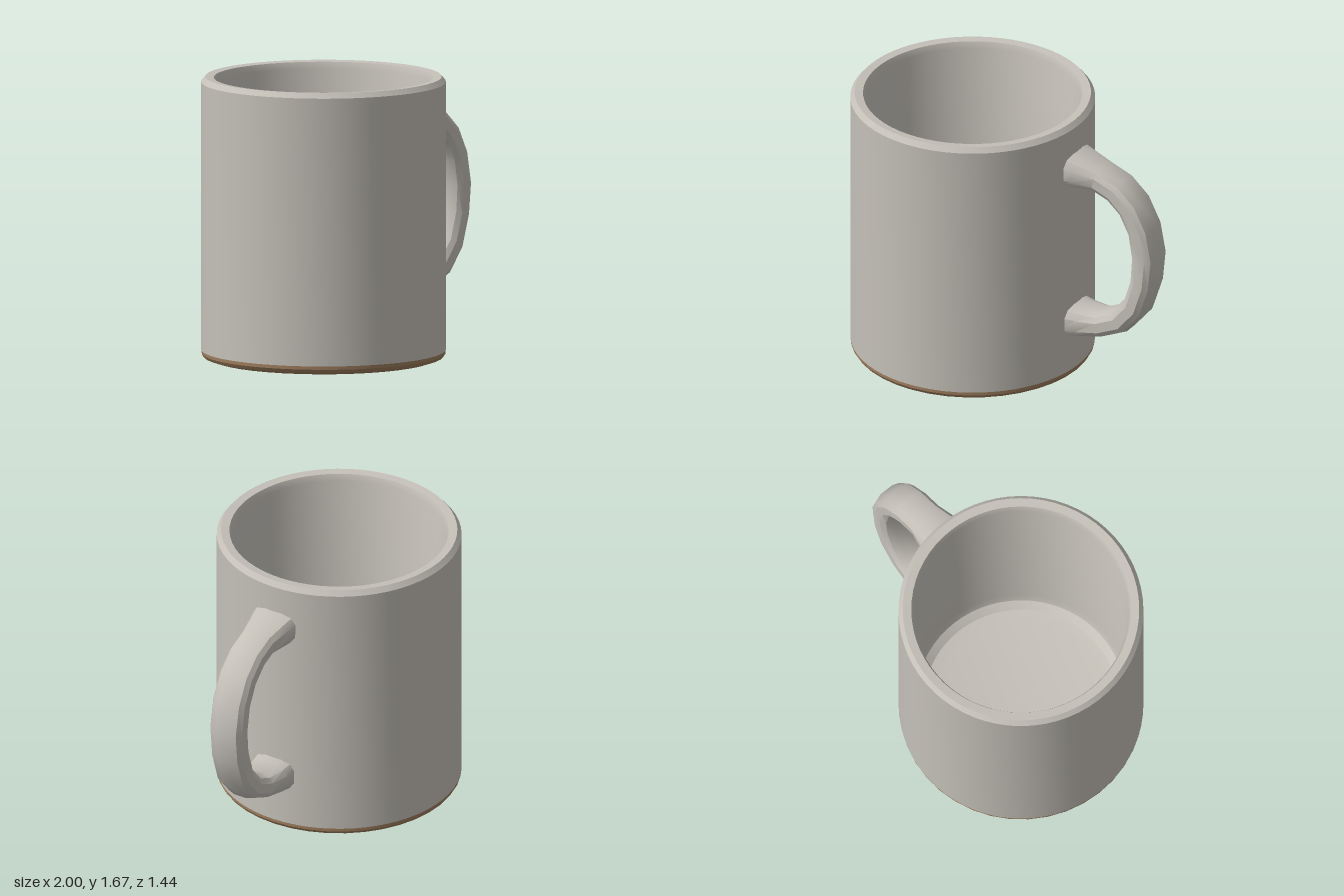
import * as THREE from 'three';
import { toCreasedNormals } from 'three/addons/utils/BufferGeometryUtils.js';

const CENTER_X = -0.28;

// Turns a [radius, height] profile, listed from bottom to top on the outside
function turned(profile, segments) {
  const points = profile.map(([r, y]) => new THREE.Vector2(r, y));
  return toCreasedNormals(new THREE.LatheGeometry(points, segments), 0.5);
}

// Sweeps a rounded section along stations in the xy plane:
// [x, y, half thickness, half width in z]
function sweptHandle(stations, sides) {
  const path = new THREE.CatmullRomCurve3(stations.map(([x, y]) => new THREE.Vector3(x, y, 0)));
  const positions = [];
  const index = [];
  const last = stations.length - 1;
  stations.forEach(([x, y, thick, wide], i) => {
    const t = path.getTangent(i / last);
    for (let j = 0; j < sides; j++) {
      const a = ((j + 0.5) / sides) * Math.PI * 2;
      // Squarish superellipse section
      const c = Math.sign(Math.cos(a)) * Math.abs(Math.cos(a)) ** 0.7;
      const s = Math.sign(Math.sin(a)) * Math.abs(Math.sin(a)) ** 0.7;
      positions.push(x - t.y * c * thick, y + t.x * c * thick, s * wide);
    }
    if (i === 0) return;
    for (let j = 0; j < sides; j++) {
      const k = (j + 1) % sides;
      const a = (i - 1) * sides + j, b = (i - 1) * sides + k;
      const d = i * sides + j, e = i * sides + k;
      index.push(a, b, d, b, e, d);
    }
  });
  const geometry = new THREE.BufferGeometry();
  geometry.setAttribute('position', new THREE.Float32BufferAttribute(positions, 3));
  geometry.setIndex(index);
  return toCreasedNormals(geometry, 0.6);
}

export function createModel() {
  const glaze = new THREE.MeshStandardMaterial({ color: 0xc4c0b8 });
  glaze.name = 'grey glaze';
  glaze.side = THREE.DoubleSide;
  const clay = new THREE.MeshStandardMaterial({ color: 0x9c7c5c });
  clay.name = 'brown clay';

  const mug = new THREE.Group();
  mug.name = 'mug';
  const add = (name, geometry, material, x = 0) => {
    const mesh = new THREE.Mesh(geometry, material);
    mesh.name = name;
    mesh.position.x = x;
    mug.add(mesh);
  };

  // Outer wall, bevelled rim, inner wall and rounded inner floor
  add('cup', turned([
    [0.72, 0.055], [0.72, 1.645], [0.695, 1.675], [0.645, 1.67], [0.63, 1.63],
    [0.63, 0.2], [0.615, 0.14], [0.57, 0.1], [0.5, 0.085], [0, 0.085],
  ], 64), glaze, CENTER_X);

  // Unglazed foot with a shallow recess underneath
  add('foot', turned([
    [0, 0.02], [0.54, 0.02], [0.57, 0.002], [0.66, 0], [0.705, 0.015], [0.718, 0.035], [0.718, 0.056],
  ], 40), clay, CENTER_X);

  // Handle, flared where it meets the wall
  add('handle', sweptHandle([
    [0.38, 1.385, 0.11, 0.16],
    [0.47, 1.37, 0.098, 0.14],
    [0.6, 1.35, 0.077, 0.112],
    [0.72, 1.305, 0.077, 0.112],
    [0.82, 1.215, 0.077, 0.112],
    [0.89, 1.08, 0.077, 0.112],
    [0.92, 0.91, 0.08, 0.112],
    [0.905, 0.74, 0.077, 0.112],
    [0.85, 0.57, 0.077, 0.112],
    [0.75, 0.45, 0.077, 0.112],
    [0.62, 0.39, 0.077, 0.112],
    [0.49, 0.378, 0.092, 0.132],
    [0.38, 0.38, 0.11, 0.15],
  ], 12), glaze);

  return mug;
}
